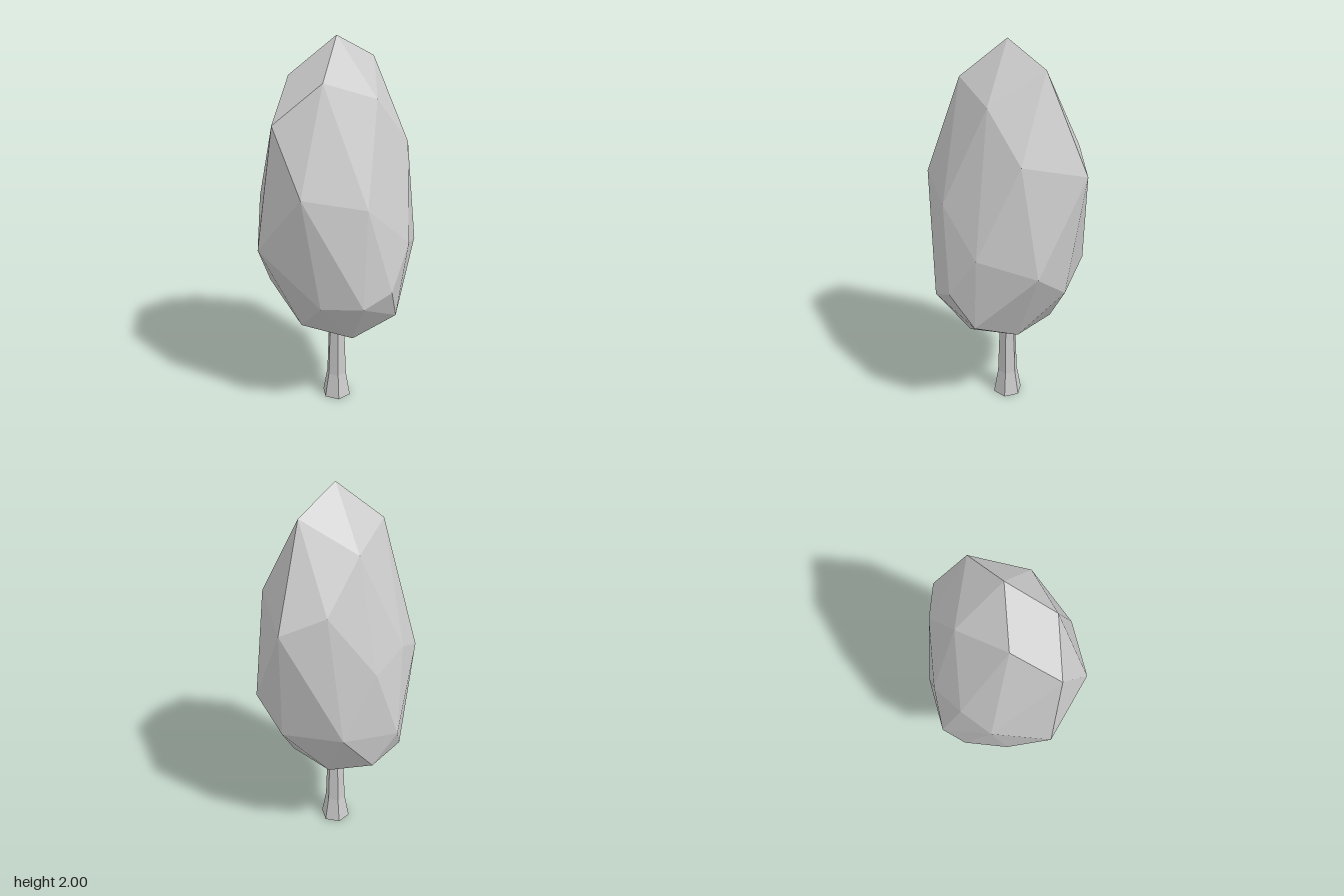
import * as THREE from 'three';
import { ConvexGeometry } from 'three/addons/geometries/ConvexGeometry.js';

const CROWN_CENTRE = 1.2;
const SAG = 2.1; // how far the crown droops toward its front and back

// Faceted crown: each corner is repeated by a half turn about z, then bent down along z
function crownGeometry() {
  const points = [];
  const add = (x, h, z) => {
    for (const s of [1, -1]) {
      points.push(new THREE.Vector3(s * x, CROWN_CENTRE - SAG * z * z + s * h, z));
    }
  };

  // corners on the middle plane: x, height above the centre
  for (const [x, h] of [[0, 0.797], [0.238, 0.68], [-0.387, 0.42]]) add(x, h, 0);

  // corners mirrored front to back
  const mirrored = [
    [-0.19, 0.65, 0.135], [0.07, 0.62, 0.22], [0.28, 0.38, 0.22], [-0.1, 0.31, 0.36],
  ];
  for (const [x, h, z] of mirrored) {
    add(x, h, z);
    add(x, h, -z);
  }

  // uneven corners round the widest part
  const girth = [
    [0.446, 0.205, -0.07], [-0.375, 0.19, 0.2], [0.145, 0.14, 0.39],
    [-0.265, 0.17, -0.31], [0.1, 0.25, -0.37],
  ];
  for (const [x, h, z] of girth) add(x, h, z);

  // front and back tips
  const tipY = CROWN_CENTRE - SAG * 0.433 ** 2;
  for (const z of [0.433, -0.433]) points.push(new THREE.Vector3(0, tipY, z));

  return new ConvexGeometry(points);
}

export function createModel() {
  const tree = new THREE.Group();
  tree.name = 'tree';
  const material = new THREE.MeshStandardMaterial({ color: 0xcccccc, flatShading: true });

  const crown = new THREE.Mesh(crownGeometry(), material);
  crown.name = 'crown';
  tree.add(crown);

  // Six-sided trunk with a flared foot, its top hidden in the crown
  const profile = [[0, 0], [0.081, 0], [0.056, 0.14], [0.045, 0.43], [0, 0.43]]
    .map(([r, y]) => new THREE.Vector2(r, y));
  const trunk = new THREE.Mesh(new THREE.LatheGeometry(profile, 6), material);
  trunk.name = 'trunk';
  trunk.rotation.y = Math.PI / 6;
  tree.add(trunk);

  return tree;
}
